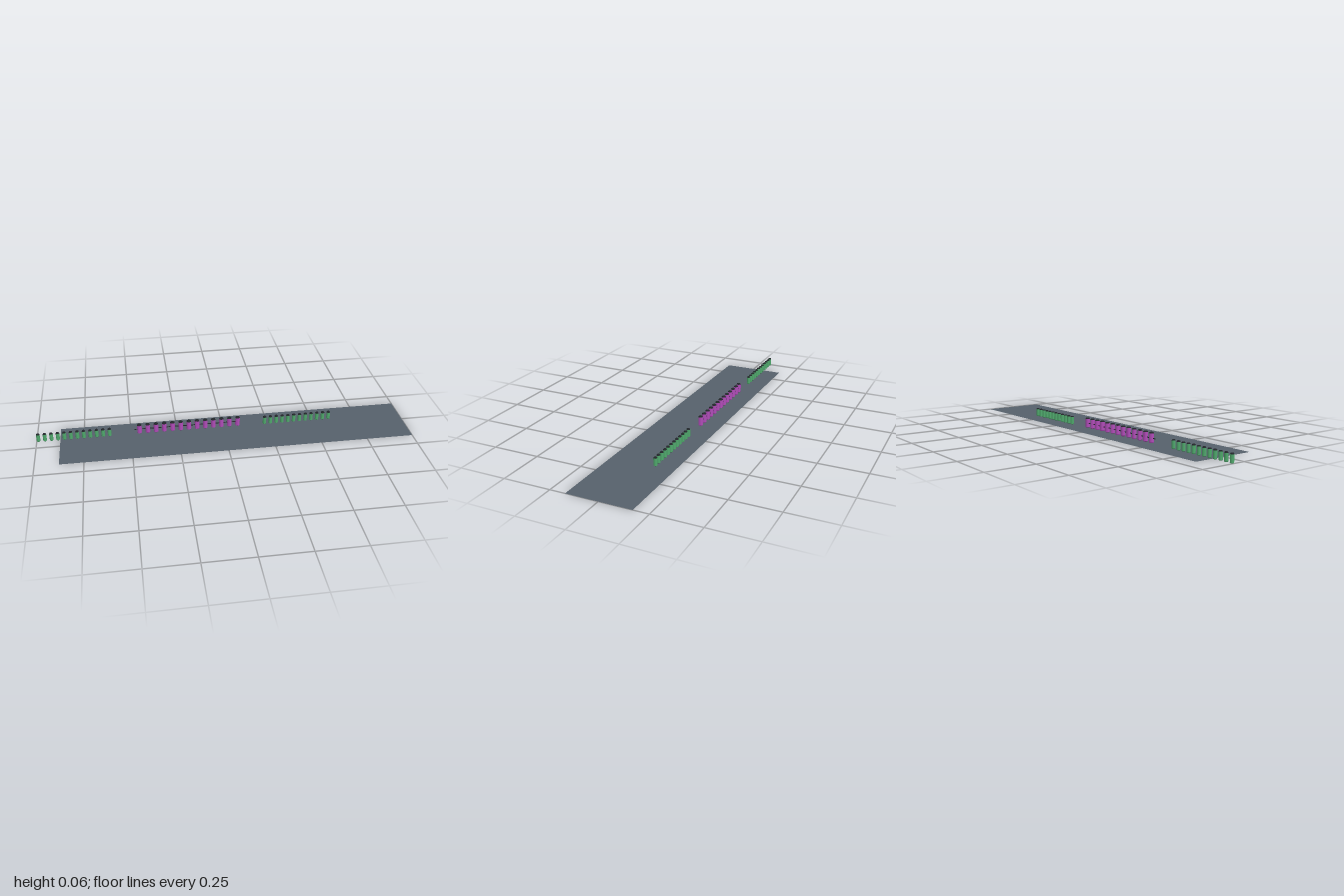
import * as THREE from 'three';

const mat = (color, extra = {}) => new THREE.MeshStandardMaterial({ color, ...extra });
const ROW_Z = -0.065;

// One upright pill: coloured body with a bevelled foot, and a dark bevelled cap
function makePill(name, radius, base, height, bodyMat, capMat) {
  const pill = new THREE.Group();
  pill.name = name;
  const bevel = radius * 0.3;
  const capY = height - 0.005;
  const lathe = (points) => new THREE.LatheGeometry(points.map(([r, y]) => new THREE.Vector2(r, y)), 12);

  const body = new THREE.Mesh(
    lathe([[0, base], [radius - bevel, base], [radius, base + bevel], [radius, capY]]),
    bodyMat
  );
  body.name = name + 'Body';

  const cap = new THREE.Mesh(
    lathe([[radius, capY], [radius - bevel, height], [0, height]]),
    capMat
  );
  cap.name = name + 'Cap';
  pill.add(body, cap);
  return pill;
}

// A straight row of evenly spaced pills
function makeRow(name, count, x0, x1, build) {
  const row = new THREE.Group();
  row.name = name;
  for (let i = 0; i < count; i++) {
    const pill = build();
    pill.position.set(x0 + ((x1 - x0) * i) / (count - 1), 0, ROW_Z);
    row.add(pill);
  }
  return row;
}

export function createModel() {
  const model = new THREE.Group();
  model.name = 'pillRowsOnSheet';

  const green = mat(0x4fa86c, { flatShading: true });
  const purple = mat(0xb04cb8, { flatShading: true });
  const dark = mat(0x22262a, { flatShading: true });

  // Thin ground sheet
  const sheet = new THREE.Mesh(
    new THREE.PlaneGeometry(1.876, 0.34).rotateX(-Math.PI / 2),
    mat(0x56616b, { side: THREE.DoubleSide })
  );
  sheet.name = 'sheet';
  sheet.position.x = 0.062;
  model.add(sheet);

  // Short green pills on both sides, taller purple pills between them
  const small = () => makePill('greenPill', 0.0098, 0, 0.046, green, dark);
  const large = () => makePill('purplePill', 0.0125, 0.003, 0.057, purple, dark);
  model.add(
    makeRow('rightGreenRow', 12, -0.99, -0.614, small),
    makeRow('leftGreenRow', 12, 0.234, 0.595, small),
    makeRow('purpleRow', 13, -0.453, 0.083, large)
  );

  // Thin rod threading the purple pills
  const rod = new THREE.Mesh(
    new THREE.CylinderGeometry(0.0025, 0.0025, 0.563, 8).rotateZ(Math.PI / 2),
    dark
  );
  rod.name = 'rod';
  rod.position.set(-0.1985, 0.027, ROW_Z);
  model.add(rod);

  return model;
}
